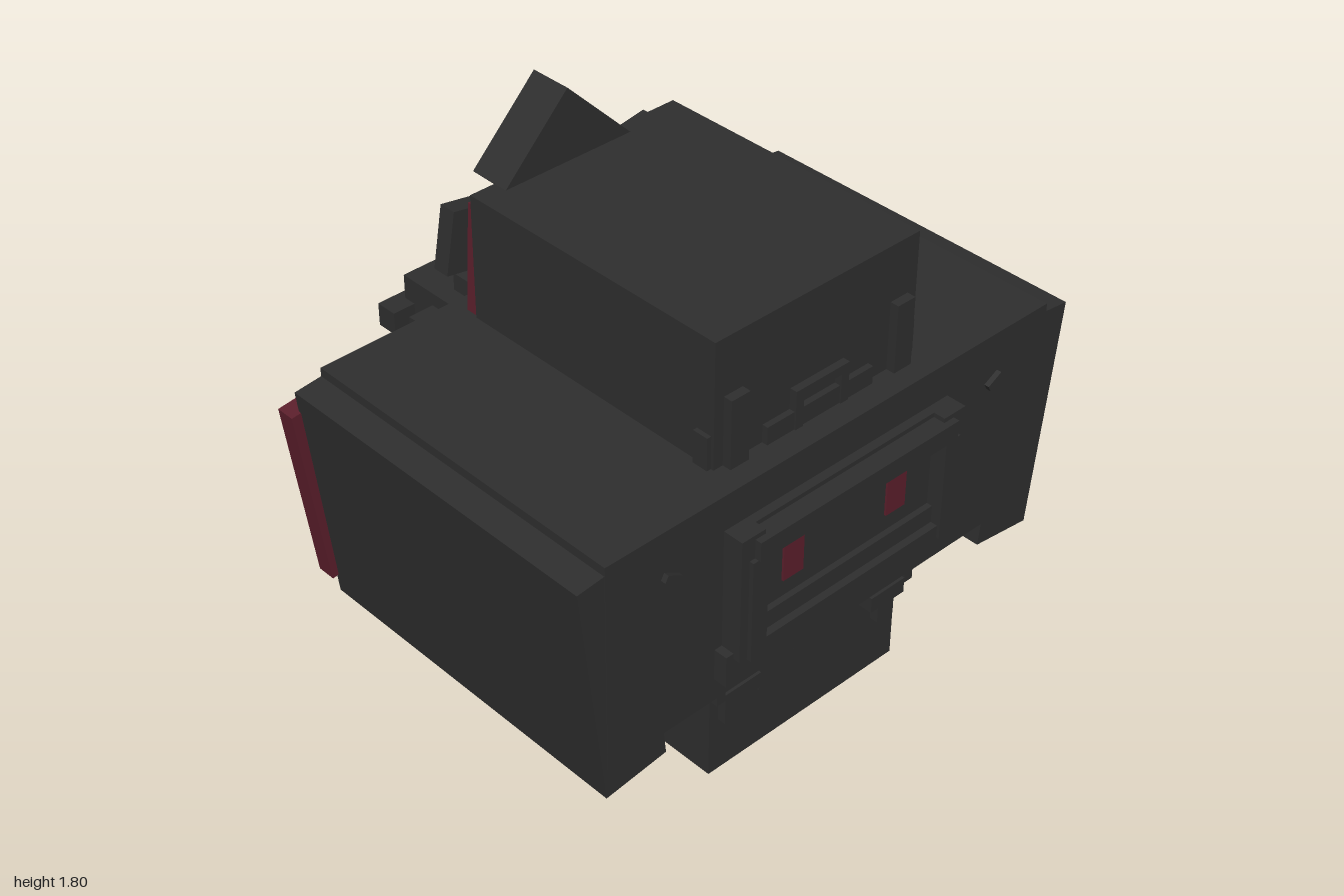
import * as THREE from 'three';

export function createModel() {
  const model = new THREE.Group();
  const charcoal = new THREE.MeshStandardMaterial({ color: 0x2e2e2e });
  charcoal.name = 'charcoal';
  const crimson = new THREE.MeshStandardMaterial({ color: 0x5c1f2c });
  crimson.name = 'crimson';

  const add = (name, geo, mat) => {
    const m = new THREE.Mesh(geo, mat);
    m.name = name;
    model.add(m);
    return m;
  };
  // Box given by its limits on each axis
  const box = (name, x0, x1, y0, y1, z0, z1, mat = charcoal, tilt = 0) => {
    const m = add(name, new THREE.BoxGeometry(x1 - x0, y1 - y0, z1 - z0), mat);
    m.position.set((x0 + x1) / 2, (y0 + y1) / 2, (z0 + z1) / 2);
    m.rotation.z = tilt;
    return m;
  };
  // Mirrored pair of boxes
  const pair = (name, x0, x1, y0, y1, z0, z1, mat = charcoal, tilt = 0) => {
    box(name + 'Left', x0, x1, y0, y1, z0, z1, mat, tilt);
    box(name + 'Right', -x1, -x0, y0, y1, z0, z1, mat, -tilt);
  };
  // Mirrored pair of prisms with an outline in the xy plane
  const prismPair = (name, pts, z0, z1, mat = charcoal) => {
    for (const s of [1, -1]) {
      const shape = new THREE.Shape(pts.map(([x, y]) => new THREE.Vector2(s * x, y)));
      const geo = new THREE.ExtrudeGeometry(shape, { depth: z1 - z0, bevelEnabled: false });
      geo.translate(0, 0, z0);
      add(name + (s > 0 ? 'Left' : 'Right'), geo, mat);
    }
  };
  // Square standing on its corner; r is half its diagonal
  const diamond = (name, x, y, r, z0, z1, mat = charcoal) => {
    const a = r / Math.SQRT2;
    box(name, x - a, x + a, y - a, y + a, z0, z1, mat, Math.PI / 4);
  };

  // Main volumes
  box('core', -0.395, 0.395, 0, 1.56, -0.355, 0.64);
  box('body', -0.88, 0.88, 0.42, 1.14, -0.465, 0.74);
  prismPair('sideBlock', [[0.975, 1.1], [0.75, 1.125], [0.66, 0.34], [0.885, 0.312]], -0.465, 0.738);

  // Red back panels
  prismPair('rearSidePanel', [[1, 1.025], [0.755, 1.055], [0.675, 0.41], [0.915, 0.38]], -0.52, -0.455, crimson);
  prismPair('rearStrip', [[0.455, 0.075], [0.365, 1.5], [0.235, 1.49], [0.315, 0.065]], -0.405, -0.345, crimson);

  // Front face frame
  box('facePlate', -0.45, 0.45, 0.58, 1.02, 0.735, 0.77);
  pair('faceSide', 0.36, 0.45, 0.59, 1.02, 0.74, 0.81);
  box('faceTopBar', -0.4, 0.4, 0.94, 1.005, 0.74, 0.832);
  box('faceBottomBar', -0.365, 0.365, 0.585, 0.63, 0.74, 0.815);
  pair('faceCorner', 0.36, 0.42, 0.585, 0.94, 0.74, 0.825);
  box('faceSill', -0.365, 0.365, 0.63, 0.69, 0.74, 0.79);
  box('chin', -0.478, 0.478, 0.5, 0.61, 0.735, 0.787);
  pair('eye', 0.17, 0.25, 0.75, 0.94, 0.768, 0.777, crimson);
  pair('cheekSlot', 0.62, 0.68, 0.966, 0.99, 0.735, 0.757, charcoal, 0.5);

  // Front straps above and below the body
  pair('strap', 0.29, 0.36, 0.2, 1.37, 0.64, 0.67);
  pair('strapBuckle', 0.235, 0.38, 0.285, 0.34, 0.64, 0.69);
  box('lowerPlate', -0.21, 0.21, 0.23, 0.325, 0.64, 0.66);
  box('lowerClasp', -0.11, 0.11, 0.36, 0.44, 0.64, 0.7);
  box('upperPlate', -0.21, 0.21, 1.13, 1.2, 0.64, 0.66);
  box('upperBracketTop', -0.105, 0.105, 1.24, 1.27, 0.64, 0.665);
  pair('upperBracketSide', 0.075, 0.105, 1.13, 1.24, 0.64, 0.665);
  pair('shoulderRim', 0.38, 0.41, 1.13, 1.25, 0.575, 0.63);
  pair('waistRim', 0.38, 0.415, 0.32, 0.43, 0.575, 0.69);
  for (const x of [-0.2, -0.065, 0.065, 0.2])
    box('frontStud', x - 0.03, x + 0.03, 0.325, 0.36, 0.635, 0.648, crimson);

  // Back pack
  box('pack', -0.45, 0.45, 0.58, 0.96, -0.61, -0.46);
  box('packTop', -0.32, 0.32, 0.92, 1.04, -0.8, -0.46);
  pair('packHandle', 0.2, 0.4, 0.875, 0.955, -0.833, -0.755);
  box('packBase', -0.478, 0.478, 0.5, 0.61, -0.638, -0.46);
  pair('packCorner', 0.36, 0.45, 0.96, 1.04, -0.61, -0.46);
  for (const x of [-0.28, -0.1, 0.1, 0.28])
    box('packStud', x - 0.018, x + 0.018, 0.67, 0.695, -0.615, -0.609, crimson);
  for (const y of [0.75, 0.86, 0.97])
    pair('packRivet', 0.385, 0.425, y, y + 0.03, -0.617, -0.605);

  // Rear posts, arched bars and foot plates
  pair('rearPost', 0.25, 0.3, 0.24, 1.25, -0.52, -0.485);
  pair('rearPostCap', 0.22, 0.33, 0.16, 0.34, -0.475, -0.42);
  pair('rearPostBand', 0.22, 0.34, 1.13, 1.19, -0.525, -0.45);
  box('rearLowerSlab', -0.26, 0.26, 0.17, 0.44, -0.42, -0.35);
  box('rearUpperSlab', -0.26, 0.26, 1.13, 1.4, -0.43, -0.35);
  for (const y of [0.2, 0.3]) {
    const arc = new THREE.QuadraticBezierCurve3(
      new THREE.Vector3(-0.3, y, -0.42),
      new THREE.Vector3(0, y, -0.52),
      new THREE.Vector3(0.3, y, -0.42));
    add('rearArch', new THREE.TubeGeometry(arc, 8, 0.02, 4), charcoal);
  }
  box('rearFootPlate', -0.28, 0.28, 0.065, 0.1, -0.485, -0.35);
  box('rearFootStud', -0.03, 0.03, 0.1, 0.13, -0.43, -0.35, crimson);

  // Crest and rear emblem block
  diamond('crest', -0.065, 1.56, 0.24, -0.45, -0.305);
  diamond('emblemBase', 0, 1.41, 0.17, -0.52, -0.44);
  diamond('emblemRing', 0, 1.47, 0.11, -0.535, -0.5);
  diamond('emblemGem', 0, 1.47, 0.07, -0.555, -0.53, crimson);
  prismPair('headFin', [[0.398, 1.47], [0.28, 1.45], [0.315, 1.245], [0.435, 1.265]], -0.49, -0.43);
  pair('finLink', 0.1, 0.34, 1.3, 1.34, -0.5, -0.44);

  return model;
}
